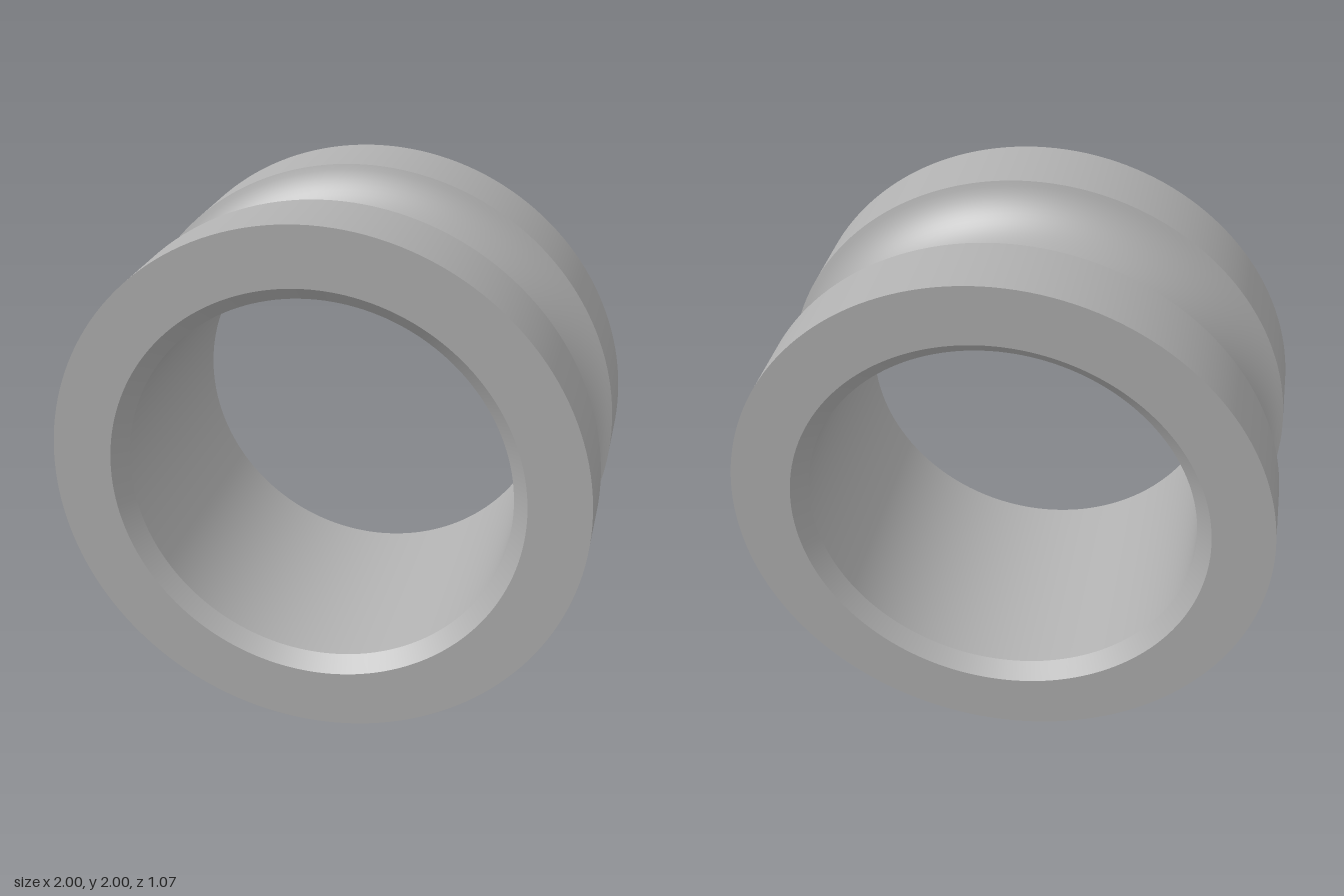
import * as THREE from 'three';

const SEGMENTS = 160;
const OUTER = 1, BORE = 0.72, CHAMFER = 0.055, HALF = 0.535;
const GROOVE_HALF = 0.24, GROOVE_RADIUS = 0.25, GROOVE_CENTRE = 1.07;

export function createModel() {
  const steel = new THREE.MeshStandardMaterial({ color: 0xb0b0b0 });
  steel.name = 'steel grey';

  const ring = new THREE.Group();
  ring.name = 'grooved ring';

  // Each surface is its own lathe, so the edges between them stay sharp
  const addSurface = (name, points) => {
    const profile = points.map(([r, a]) => new THREE.Vector2(r, a));
    const mesh = new THREE.Mesh(new THREE.LatheGeometry(profile, SEGMENTS), steel);
    mesh.name = name;
    ring.add(mesh);
  };

  // Circular groove around the middle
  const sweep = Math.asin(GROOVE_HALF / GROOVE_RADIUS);
  const groove = [];
  for (let i = 0; i <= 32; i++) {
    const t = sweep * (i / 16 - 1);
    groove.push([GROOVE_CENTRE - GROOVE_RADIUS * Math.cos(t), GROOVE_RADIUS * Math.sin(t)]);
  }
  groove[0][0] = groove[32][0] = OUTER;
  addSurface('groove', groove);

  // Inner bore
  addSurface('bore', [[BORE, HALF - CHAMFER], [BORE, CHAMFER - HALF]]);

  // Shoulder, flat end and chamfer, mirrored to both ends
  for (const [side, s] of [['front', 1], ['back', -1]]) {
    const addEnd = (name, points) => {
      const mirrored = points.map(([r, a]) => [r, a * s]);
      addSurface(side + name, s > 0 ? mirrored : mirrored.reverse());
    };
    addEnd('Shoulder', [[OUTER, GROOVE_HALF], [OUTER, HALF]]);
    addEnd('Face', [[OUTER, HALF], [BORE + CHAMFER, HALF]]);
    addEnd('Chamfer', [[BORE + CHAMFER, HALF], [BORE, HALF - CHAMFER]]);
  }

  // Turn the axis to z and stand the ring on the ground
  ring.rotation.x = Math.PI / 2;
  ring.position.y = OUTER;

  const model = new THREE.Group();
  model.name = 'bearing ring';
  model.add(ring);
  return model;
}
